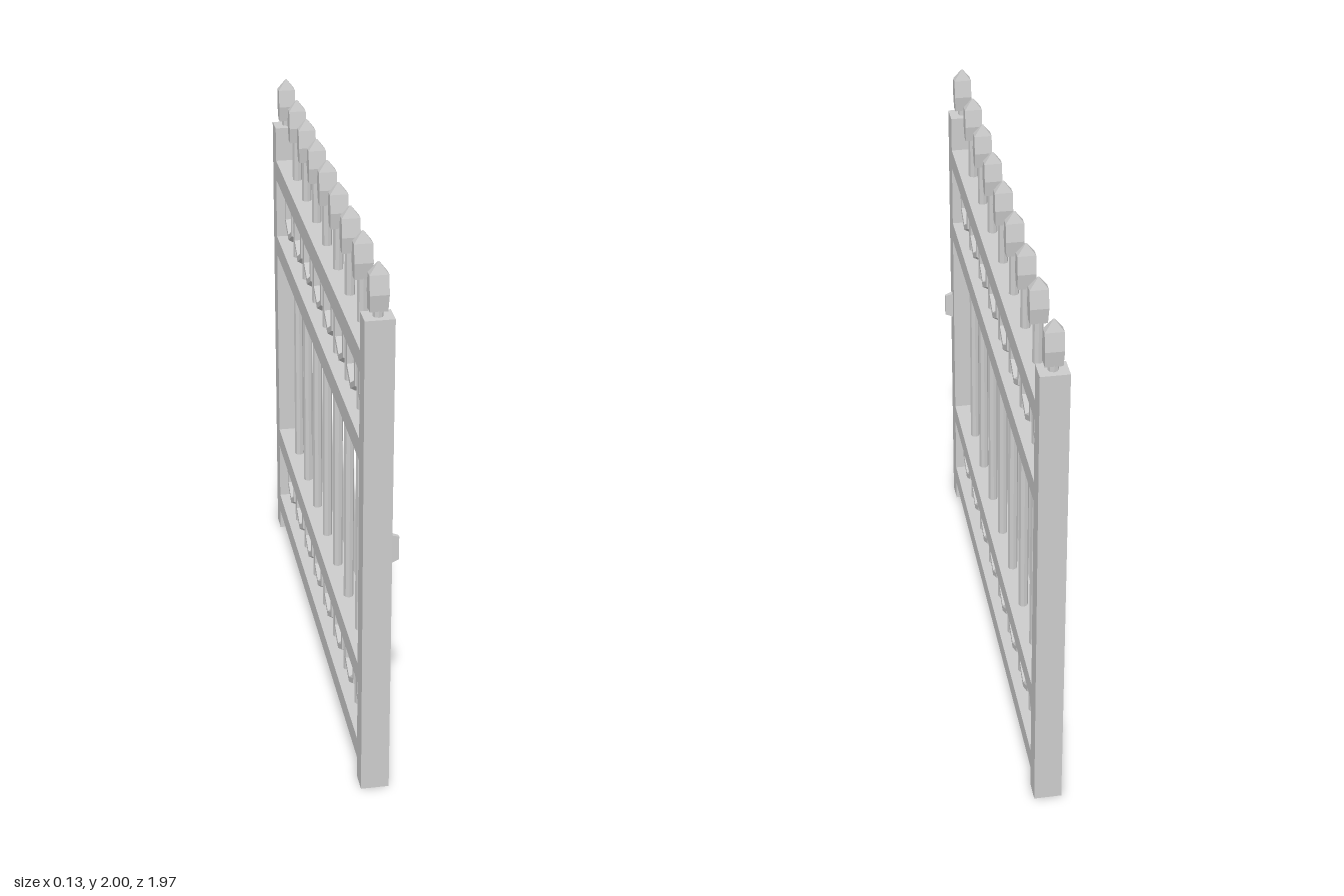
import * as THREE from 'three';

const X = -0.015; // centre plane of the gate

export function createModel() {
  const gate = new THREE.Group();
  gate.name = 'gate';
  const material = new THREE.MeshStandardMaterial({ color: 0xcccccc, flatShading: true });

  function add(name, geometry, x, y, z) {
    const mesh = new THREE.Mesh(geometry, material);
    mesh.name = name;
    mesh.position.set(x, y, z);
    gate.add(mesh);
    return mesh;
  }

  // Stacks rectangular sections [y, halfX, halfZ] into a closed solid
  function loftRectangles(sections) {
    const points = [], index = [];
    for (const [y, hx, hz] of sections) {
      points.push(-hx, y, hz, hx, y, hz, hx, y, -hz, -hx, y, -hz);
    }
    for (let s = 0; s < sections.length - 1; s++) {
      for (let i = 0; i < 4; i++) {
        const a = s * 4 + i, b = s * 4 + (i + 1) % 4;
        index.push(a, b, b + 4, a, b + 4, a + 4);
      }
    }
    const t = (sections.length - 1) * 4;
    index.push(0, 2, 1, 0, 3, 2, t, t + 1, t + 2, t, t + 2, t + 3);
    const geometry = new THREE.BufferGeometry();
    geometry.setAttribute('position', new THREE.Float32BufferAttribute(points, 3));
    geometry.setIndex(index);
    const flat = geometry.toNonIndexed();
    flat.computeVertexNormals();
    return flat;
  }

  const spearGeometry = loftRectangles([
    [0, 0.03, 0.017], [0.06, 0.032, 0.027], [0.125, 0.032, 0.016], [0.165, 0.003, 0.003],
  ]);

  // End posts with neck and spearhead
  const postGeometry = new THREE.BoxGeometry(0.1, 1.815, 0.08);
  const neckGeometry = new THREE.CylinderGeometry(0.018, 0.018, 0.04, 8);
  for (const side of [1, -1]) {
    add('post', postGeometry, X, 0.9075, side * 0.943);
    add('postNeck', neckGeometry, X, 1.825, side * 0.945);
    add('postSpearhead', spearGeometry, X, 1.835, side * 0.945);
  }

  // Horizontal rails
  const railGeometry = new THREE.BoxGeometry(0.1, 0.08, 1.806);
  for (const y of [0.12, 0.437, 1.317, 1.64]) add('rail', railGeometry, X, y, 0);

  // Vertical bars with spearheads
  const barGeometry = new THREE.CylinderGeometry(0.018, 0.018, 1.84, 8);
  for (let i = -3; i <= 3; i++) {
    add('bar', barGeometry, X, 0.92, i * 0.2267);
    add('barSpearhead', spearGeometry, X, 1.835, i * 0.2267);
  }

  // Two rows of hexagonal rings, points up, facing sideways
  const ringGeometry = new THREE.TorusGeometry(0.089, 0.022, 6, 6);
  ringGeometry.rotateZ(Math.PI / 6);
  ringGeometry.rotateY(Math.PI / 2);
  for (const y of [0.277, 1.48]) {
    for (let i = 0; i < 8; i++) add('ring', ringGeometry, X, y, (i - 3.5) * 0.2287);
  }

  // Tapered handle on the outer face of the front post
  const handle = add('handle', loftRectangles([[0, 0.055, 0.011], [0.031, 0.044, 0.006]]), 0.034, 0.957, 0.945);
  handle.rotation.z = -Math.PI / 2;

  return gate;
}
